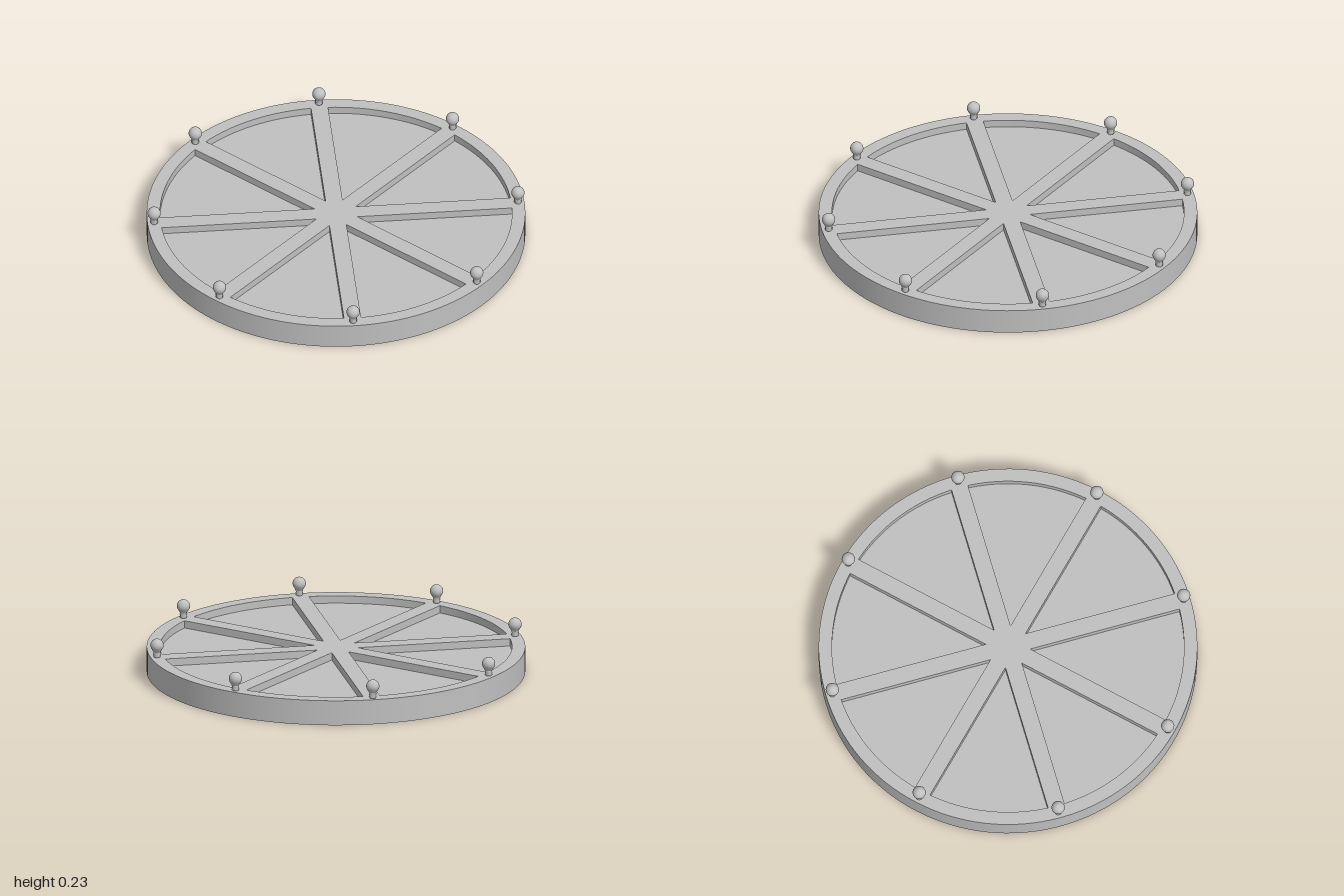
import * as THREE from 'three';
import { toCreasedNormals } from 'three/addons/utils/BufferGeometryUtils.js';

const HEIGHT = 0.135, FLOOR = 0.095; // rim top and pocket floor
const RIM_R = 0.93, RIB = 0.045; // pocket radius and half rib width
const SPOKES = 8, STEP = (Math.PI * 2) / SPOKES;

// Wedge-shaped pocket between two spokes, with sides parallel to the spokes
function pocket(i) {
  const mid = (i + 0.5) * STEP;
  const half = STEP / 2 - Math.asin(RIB / RIM_R);
  const tip = RIB / Math.sin(STEP / 2);
  const points = [new THREE.Vector2(Math.cos(mid) * tip, Math.sin(mid) * tip)];
  for (let k = 0; k <= 16; k++) {
    const a = mid - half + (2 * half * k) / 16;
    points.push(new THREE.Vector2(Math.cos(a) * RIM_R, Math.sin(a) * RIM_R));
  }
  return new THREE.Path(points.reverse());
}

export function createModel() {
  const model = new THREE.Group();
  model.name = 'spokedDisc';
  const grey = new THREE.MeshStandardMaterial({ color: 0xc0c0c0 });
  grey.name = 'grey';

  function add(parent, name, geometry) {
    const mesh = new THREE.Mesh(geometry, grey);
    mesh.name = name;
    parent.add(mesh);
    return mesh;
  }

  // Solid base plate
  add(model, 'basePlate', new THREE.CylinderGeometry(1, 1, FLOOR, 128)).position.y = FLOOR / 2;

  // Rim and spokes in one piece, pierced by the pockets
  const shape = new THREE.Shape().absarc(0, 0, 1, 0, Math.PI * 2);
  for (let i = 0; i < SPOKES; i++) shape.holes.push(pocket(i));
  const frame = new THREE.ExtrudeGeometry(shape, {
    depth: HEIGHT - FLOOR, bevelEnabled: false, curveSegments: 64,
  });
  frame.rotateX(-Math.PI / 2);
  add(model, 'rimAndSpokes', toCreasedNormals(frame, 0.4)).position.y = FLOOR;

  // Bulb: round globe running into a tapered neck
  const globe = [[0.018, 0.028], [0.022, 0.034], [0.026, 0.041]];
  for (let k = 0; k <= 12; k++) {
    const a = -0.7 + ((Math.PI / 2 + 0.7) * k) / 12;
    globe.push([k === 12 ? 0 : Math.cos(a) * 0.035, 0.065 + Math.sin(a) * 0.035]);
  }
  const toPoints = (list) => list.map(([r, y]) => new THREE.Vector2(r, y));
  const globeGeometry = new THREE.LatheGeometry(toPoints(globe), 24);

  // Ridged screw base under the globe
  const screw = [[0.015, -0.002]];
  for (let k = 0; k < 3; k++) screw.push([0.016, 0.002 + k * 0.009], [0.02, 0.006 + k * 0.009]);
  screw.push([0.018, 0.028]);
  const screwGeometry = new THREE.LatheGeometry(toPoints(screw), 24);

  // Bulbs around the rim, one at the end of each spoke
  for (let i = 0; i < SPOKES; i++) {
    const bulb = new THREE.Group();
    bulb.name = 'bulb' + (i + 1);
    bulb.position.set(Math.cos(i * STEP) * 0.965, HEIGHT, Math.sin(i * STEP) * 0.965);
    add(bulb, 'globe', globeGeometry);
    add(bulb, 'screwBase', screwGeometry);
    model.add(bulb);
  }
  return model;
}
